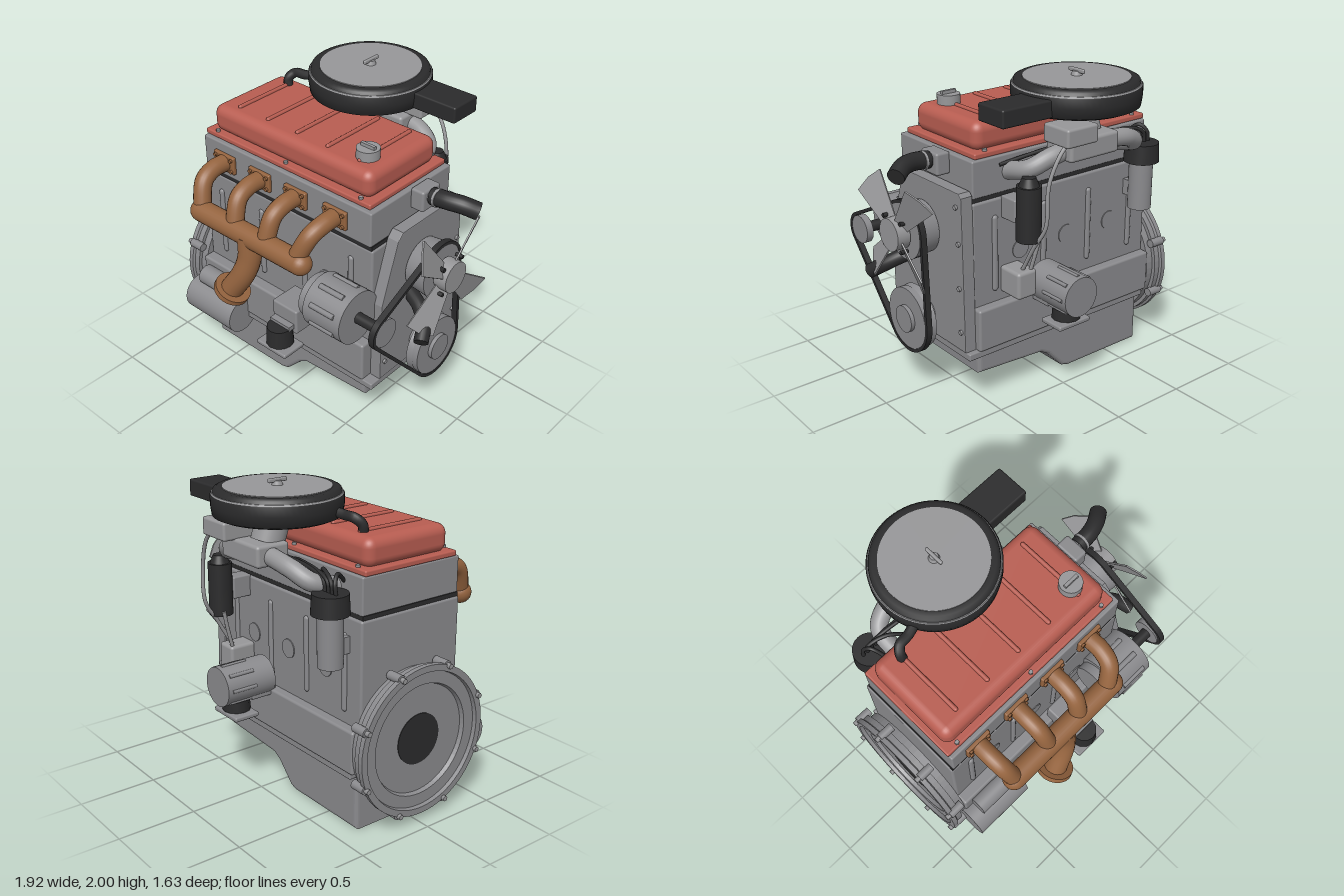
import * as THREE from 'three';
import { RoundedBoxGeometry } from 'three/addons/geometries/RoundedBoxGeometry.js';

const paint = (name, color) => Object.assign(new THREE.MeshStandardMaterial({ color }), { name });
const V = (a) => new THREE.Vector3(...a);

// Convex outline around a set of circles [x, y, r], for belts
function hull(circles, extra) {
  const pts = [];
  for (const [x, y, r] of circles)
    for (let i = 0; i < 72; i++) {
      const a = (i / 72) * Math.PI * 2;
      pts.push(new THREE.Vector2(x + Math.cos(a) * (r + extra), y + Math.sin(a) * (r + extra)));
    }
  pts.sort((a, b) => a.x - b.x || a.y - b.y);
  const half = (list) => {
    const h = [];
    for (const p of list) {
      while (h.length > 1) {
        const a = h[h.length - 2], b = h[h.length - 1];
        if ((b.x - a.x) * (p.y - a.y) - (b.y - a.y) * (p.x - a.x) > 0) break;
        h.pop();
      }
      h.push(p);
    }
    return h.slice(0, -1);
  };
  return [...half(pts), ...half([...pts].reverse())];
}

export function createModel() {
  const root = new THREE.Group();
  root.name = 'engine';
  const iron = paint('iron grey', 0x8a8a8d);
  const alloy = paint('alloy grey', 0x979799);
  const black = paint('black', 0x2b2b2c);
  const red = paint('cover red', 0xb85d51);
  const bronze = paint('exhaust bronze', 0x95643f);

  const add = (name, geo, mat, pos = [0, 0, 0], parent = root) => {
    const m = new THREE.Mesh(geo, mat);
    m.name = name;
    m.position.set(...pos);
    parent.add(m);
    return m;
  };
  // Box given by its min and max on each axis, with optional rounding
  const box = (name, mat, [x0, x1], [y0, y1], [z0, z1], r = 0) => {
    const s = [x1 - x0, y1 - y0, z1 - z0];
    const geo = r ? new RoundedBoxGeometry(...s, 4, r) : new THREE.BoxGeometry(...s);
    return add(name, geo, mat, [(x0 + x1) / 2, (y0 + y1) / 2, (z0 + z1) / 2]);
  };
  // Cylinder between two points
  const rod = (name, mat, a, b, r, r2 = r, seg = 40) => {
    const p = V(a), q = V(b), d = q.clone().sub(p);
    const m = add(name, new THREE.CylinderGeometry(r2, r, d.length(), seg), mat, p.clone().add(q).multiplyScalar(0.5).toArray());
    m.quaternion.setFromUnitVectors(new THREE.Vector3(0, 1, 0), d.normalize());
    return m;
  };
  // Smooth hose through points, closed by thin end discs
  const hose = (name, mat, pts, r) => {
    const c = new THREE.CatmullRomCurve3(pts.map(V), false, 'centripetal');
    add(name, new THREE.TubeGeometry(c, 28, r, r > 0.03 ? 20 : 10), mat);
    for (const t of [0, 1]) {
      const p = c.getPoint(t), d = c.getTangent(t).multiplyScalar(0.003);
      rod(name + 'End', mat, p.clone().sub(d).toArray(), p.clone().add(d).toArray(), r, r, 20);
    }
  };
  const polygon = (pts) => new THREE.Shape(pts.map((p) => new THREE.Vector2(...p)));

  // Block, head and gasket
  box('block', iron, [-0.8, 0.59], [0.62, 1.31], [-0.36, 0.38], 0.015);
  box('crankcase', iron, [-0.8, 0.59], [0.39, 0.66], [-0.42, 0.455], 0.015);
  box('panFlange', iron, [-0.77, 0.66], [0.35, 0.395], [-0.41, 0.45], 0.008);
  box('headGasket', black, [-0.79, 0.58], [1.305, 1.335], [-0.345, 0.375]);
  box('cylinderHead', iron, [-0.785, 0.575], [1.33, 1.555], [-0.345, 0.38], 0.01);
  for (const x of [-0.655, -0.3, 0.06, 0.43])
    for (const z of [0.38, -0.36]) {
      const rib = add('blockRib', new THREE.CapsuleGeometry(0.02, 0.44, 4, 12), iron, [x, 0.97, z]);
      rib.scale.z = 0.8;
    }
  for (const x of [-0.48, -0.12, 0.24])
    for (const [z, s] of [[0.38, 1], [-0.36, -1]])
      rod('corePlug', iron, [x, 0.95, z], [x, 0.95, z + s * 0.006], 0.06);

  // Oil pan with deep sump at the rear
  const pan = new THREE.ExtrudeGeometry(
    polygon([[-0.77, 0], [-0.17, 0], [-0.12, 0.015], [0.0, 0.14], [0.06, 0.175], [0.555, 0.205], [0.56, 0.36], [-0.77, 0.36]]),
    { depth: 0.7, bevelEnabled: true, bevelThickness: 0.025, bevelSize: 0.025, bevelOffset: -0.025, bevelSegments: 4 });
  add('oilPan', pan, iron, [0, 0.003, -0.335]);

  // Valve cover, ribs, bolts and filler cap
  box('coverFlange', red, [-0.79, 0.545], [1.555, 1.59], [-0.33, 0.355], 0.01);
  box('valveCover', red, [-0.76, 0.51], [1.575, 1.75], [-0.29, 0.32], 0.06);
  for (let i = 0; i < 5; i++) {
    const x = -0.6 + i * 0.24;
    const rib = add('coverRib', new THREE.CapsuleGeometry(0.014, 0.44, 4, 10), red, [x, 1.752, 0.01]);
    rib.rotation.x = Math.PI / 2;
  }
  for (const x of [-0.7, -0.12, 0.46])
    for (const z of [-0.31, 0.335]) rod('coverBolt', alloy, [x, 1.585, z], [x, 1.605, z], 0.014, 0.014, 6);
  rod('fillerCap', alloy, [0.365, 1.74, 0.165], [0.365, 1.81, 0.165], 0.07);
  box('fillerGrip', alloy, [0.315, 0.415], [1.81, 1.83], [0.155, 0.175]);

  // Bell housing with rim lugs and clutch recess
  const bell = [[0, 0], [0.17, 0], [0.34, 0], [0.35, 0.025], [0.425, 0.025], [0.43, 0.05], [0.47, 0.05], [0.47, 0.018],
    [0.455, 0.01], [0.455, -0.03], [0.43, -0.03], [0.43, -0.08], [0, -0.08]].map(([r, y]) => new THREE.Vector2(r, y));
  const cy = 0.53, cz = 0.012;
  const housing = new THREE.LatheGeometry(bell.reverse(), 64).toNonIndexed();
  housing.computeVertexNormals();
  add('bellHousing', housing, iron, [-0.88, cy, cz]).rotation.z = Math.PI / 2;
  rod('clutchHole', black, [-0.87, cy, cz], [-0.884, cy, cz], 0.16);
  for (let i = 0; i < 8; i++) {
    const a = ((i + 0.5) / 8) * Math.PI * 2, y = cy + Math.sin(a) * 0.465, z = cz + Math.cos(a) * 0.465;
    rod('housingLug', iron, [-0.92, y, z], [-0.82, y, z], 0.028, 0.028, 16);
    rod('housingBolt', alloy, [-0.95, y, z], [-0.9, y, z], 0.017, 0.017, 6);
  }

  // Timing cover and its bolts
  const timing = new THREE.ExtrudeGeometry(
    polygon([[-0.37, 0.4], [0.37, 0.4], [0.36, 0.9], [0.35, 1.36], [0.33, 1.38], [-0.2, 1.38], [-0.24, 1.34], [-0.37, 0.95]]),
    { depth: 0.07, bevelEnabled: true, bevelThickness: 0.005, bevelSize: 0.005, bevelSegments: 2 });
  add('timingCover', timing, iron, [0.59, 0, 0]).rotation.y = Math.PI / 2;
  for (const [y, z] of [[0.52, 0.34], [0.52, -0.34], [0.8, -0.33], [1.08, -0.33], [1.3, -0.31], [0.8, 0.34]])
    rod('timingBolt', alloy, [0.66, y, z], [0.68, y, z], 0.015, 0.015, 6);

  // Pulleys and belt
  rod('crankNose', iron, [0.66, 0.52, 0.015], [0.84, 0.52, 0.015], 0.085);
  rod('crankPulley', iron, [0.735, 0.52, 0.015], [0.775, 0.52, 0.015], 0.2, 0.19);
  rod('crankPulleyFace', iron, [0.775, 0.52, 0.015], [0.815, 0.52, 0.015], 0.195);
  rod('pumpShaft', iron, [0.66, 1.09, 0.015], [0.85, 1.09, 0.015], 0.07);
  rod('pumpPulley', iron, [0.67, 1.09, 0.015], [0.815, 1.09, 0.015], 0.16, 0.175);
  rod('alternatorShaft', black, [0.6, 0.935, 0.52], [0.78, 0.935, 0.52], 0.035);
  rod('alternatorPulley', iron, [0.77, 0.935, 0.52], [0.815, 0.935, 0.52], 0.09);
  const loops = [[-0.015, 0.52, 0.205], [-0.015, 1.09, 0.178], [-0.52, 0.935, 0.1]];
  const beltShape = new THREE.Shape(hull(loops, 0.012));
  beltShape.holes.push(new THREE.Path(hull(loops, -0.009)));
  add('belt', new THREE.ExtrudeGeometry(beltShape, { depth: 0.038, bevelEnabled: false }), black, [0.779, 0, 0]).rotation.y = Math.PI / 2;

  // Fan
  const fan = new THREE.Group();
  fan.name = 'fan';
  fan.position.set(0.87, 1.09, 0.015);
  root.add(fan);
  const blade = new THREE.ExtrudeGeometry(polygon([[-0.045, 0.06], [0.045, 0.06], [0.105, 0.36], [0.0, 0.385], [-0.095, 0.38]]),
    { depth: 0.01, bevelEnabled: false });
  for (let i = 0; i < 4; i++) {
    const arm = new THREE.Group();
    arm.name = 'fanBlade';
    arm.rotation.x = Math.PI / 4 + (i * Math.PI) / 2;
    fan.add(arm);
    add('blade', blade, alloy, [0, 0, 0], arm).rotation.y = -Math.PI / 2 + 0.45;
    add('hubBolt', new THREE.CylinderGeometry(0.014, 0.014, 0.05, 6), black, [0, 0.125, 0], arm).rotation.z = Math.PI / 2;
  }
  rod('fanHub', alloy, [0.83, 1.09, 0.015], [0.915, 1.09, 0.015], 0.1);

  // Coolant neck and hoses
  box('coolantNeck', iron, [0.57, 0.665], [1.43, 1.565], [-0.13, 0.03], 0.015);
  rod('neckPipe', alloy, [0.66, 1.515, -0.05], [0.72, 1.518, -0.05], 0.045);
  hose('upperHose', black, [[0.675, 1.516, -0.05], [0.78, 1.525, -0.055], [0.86, 1.52, -0.08], [0.935, 1.49, -0.125]], 0.053);
  rod('hoseClamp', alloy, [0.7, 1.517, -0.05], [0.715, 1.517, -0.05], 0.058);
  hose('lowerHose', black, [[0.66, 0.9, 0.1], [0.76, 0.87, 0.14], [0.84, 0.82, 0.2], [0.89, 0.76, 0.285]], 0.045);

  // Alternator on the front side
  rod('alternator', iron, [0.33, 0.935, 0.52], [0.61, 0.935, 0.52], 0.17);
  rod('alternatorRear', iron, [0.27, 0.935, 0.52], [0.33, 0.935, 0.52], 0.14);
  for (const a of [-1.1, -0.35, 0.4, 1.15, 1.9])
    rod('alternatorSlot', iron, [0.38, 0.935 + Math.sin(a) * 0.165, 0.52 + Math.cos(a) * 0.165],
      [0.56, 0.935 + Math.sin(a) * 0.165, 0.52 + Math.cos(a) * 0.165], 0.018, 0.018, 10);
  box('alternatorBracket', iron, [0.38, 0.5], [0.72, 0.86], [0.36, 0.52], 0.01);

  // Starter motor and solenoid
  rod('starter', iron, [-0.82, 0.395, 0.5], [-0.4, 0.395, 0.5], 0.123);
  rod('solenoid', iron, [-0.74, 0.565, 0.5], [-0.475, 0.565, 0.5], 0.065);

  // Engine mounts, one on each side
  for (const s of [1, -1]) {
    const z = s > 0 ? 0.645 : -0.61;
    const span = [[0.4, 0.6], [-0.56, -0.38]][s > 0 ? 0 : 1];
    box('mountBracket', iron, [-0.01, 0.19], [0.62, 0.79], span, 0.012);
    box('mountArm', iron, [0.01, 0.17], [0.66, 0.69], [Math.min(z, s * 0.5), Math.max(z, s * 0.5)]);
    rod('mountRubber', black, [0.09, 0.55, z], [0.09, 0.67, z], 0.088, 0.08, 12);
    box('mountPlate', iron, [-0.03, 0.21], [0.515, 0.545], [z - 0.085, z + 0.085], 0.01);
  }

  // Exhaust manifold
  const ports = [[-0.595, -0.55], [-0.29, -0.265], [0.005, -0.01], [0.315, 0.23]];
  for (const [x, lx] of ports) {
    box('exhaustFlange', bronze, [x - 0.088, x + 0.088], [1.375, 1.495], [0.375, 0.402], 0.008);
    for (const dx of [-0.067, 0.067])
      for (const y of [1.397, 1.473]) rod('flangeBolt', bronze, [x + dx, y, 0.4], [x + dx, y, 0.415], 0.013, 0.013, 6);
    hose('exhaustRunner', bronze, [[x, 1.435, 0.39], [x, 1.43, 0.49], [x * 0.8 + lx * 0.2, 1.39, 0.575], [lx, 1.22, 0.64]], 0.056);
  }
  const log = add('exhaustLog', new THREE.CapsuleGeometry(0.07, 0.83, 8, 24), bronze, [-0.14, 1.22, 0.64]);
  log.rotation.z = Math.PI / 2;
  hose('downPipe', bronze, [[-0.14, 1.22, 0.64], [-0.135, 1.08, 0.65], [-0.165, 0.96, 0.675], [-0.25, 0.815, 0.705]], 0.073);
  rod('downPipeFlange', bronze, [-0.245, 0.82, 0.7], [-0.26, 0.79, 0.705], 0.115);

  // Air cleaner with lid disc, wing nut and snorkel
  const ax = -0.12, az = -0.425;
  const can = [[0, 1.785], [0.34, 1.785], [0.375, 1.8], [0.383, 1.86], [0.383, 1.915], [0.37, 1.925], [0.365, 1.945], [0.345, 1.955], [0.31, 1.955], [0, 1.955]]
    .map((p) => new THREE.Vector2(...p));
  add('airCleaner', new THREE.LatheGeometry(can, 64), black, [ax, 0, az]);
  rod('airCleanerSeam', alloy, [ax, 1.916, az], [ax, 1.928, az], 0.379, 0.375, 64);
  rod('airCleanerLid', alloy, [ax, 1.952, az], [ax, 1.96, az], 0.315, 0.315, 64);
  rod('wingNutBase', alloy, [ax, 1.955, az], [ax, 1.985, az], 0.035, 0.025);
  box('wingNut', alloy, [ax - 0.01, ax + 0.01], [1.975, 2.0], [az - 0.065, az + 0.065], 0.008);
  box('snorkel', black, [0.15, 0.558], [1.8, 1.905], [-0.6, -0.378], 0.012);
  hose('breatherHose', black, [[-0.6, 1.73, -0.19], [-0.605, 1.79, -0.2], [-0.575, 1.825, -0.23], [-0.5, 1.83, -0.24], [-0.4, 1.845, -0.27]], 0.03);

  // Carburettor and intake runners
  rod('carburettorThroat', alloy, [ax, 1.64, -0.5], [ax, 1.79, -0.45], 0.1);
  box('floatBowl', alloy, [-0.02, 0.21], [1.65, 1.76], [-0.73, -0.52], 0.015);
  box('carburettor', alloy, [-0.25, 0.12], [1.53, 1.66], [-0.66, -0.44], 0.02);
  for (const s of [-1, 1])
    hose('intakeRunner', alloy, [[ax + s * 0.1, 1.59, -0.56], [ax + s * 0.3, 1.56, -0.555], [ax + s * 0.41, 1.5, -0.5], [ax + s * 0.43, 1.45, -0.33]], 0.055);

  // Distributor, leads and ignition coil on the back side
  rod('distributorBody', iron, [-0.65, 1.03, -0.46], [-0.65, 1.35, -0.46], 0.075);
  rod('distributorCap', black, [-0.65, 1.34, -0.46], [-0.65, 1.46, -0.46], 0.112, 0.105);
  box('distributorMount', iron, [-0.7, -0.6], [1.1, 1.2], [-0.45, -0.35]);
  [-0.62, -0.42, -0.05, 0.38].forEach((x, i) => {
    const px = -0.7 + i * 0.033;
    hose('ignitionLead', black, [[px, 1.45, -0.46], [px + 0.01, 1.52, -0.46], [(px + x) / 2, 1.56, -0.42], [x, 1.5, -0.34]], 0.012);
  });
  rod('ignitionCoil', black, [0.33, 1.09, -0.545], [0.33, 1.42, -0.545], 0.074);
  rod('coilTop', black, [0.33, 1.42, -0.545], [0.33, 1.47, -0.545], 0.06, 0.04);
  box('coilBracket', iron, [0.28, 0.38], [1.18, 1.32], [-0.48, -0.35], 0.01);

  // Fuel pump, side generator and fuel lines
  box('fuelPump', alloy, [0.25, 0.39], [0.71, 0.88], [-0.53, -0.35], 0.02);
  rod('generator', iron, [0.09, 0.725, -0.4], [0.09, 0.725, -0.74], 0.125);
  for (let i = 0; i < 8; i++) {
    const a = (i / 8) * Math.PI * 2, x = 0.09 + Math.cos(a) * 0.122, y = 0.725 + Math.sin(a) * 0.122;
    rod('generatorRib', iron, [x, y, -0.54], [x, y, -0.71], 0.012, 0.012, 8);
  }
  hose('fuelLine', alloy, [[0.17, 1.68, -0.69], [0.24, 1.6, -0.69], [0.3, 1.45, -0.68], [0.31, 1.2, -0.67], [0.32, 1.05, -0.58], [0.32, 0.86, -0.47]], 0.012);
  hose('fuelReturn', alloy, [[0.26, 1.12, -0.57], [0.27, 1.0, -0.54], [0.28, 0.86, -0.5]], 0.012);

  return root;
}
